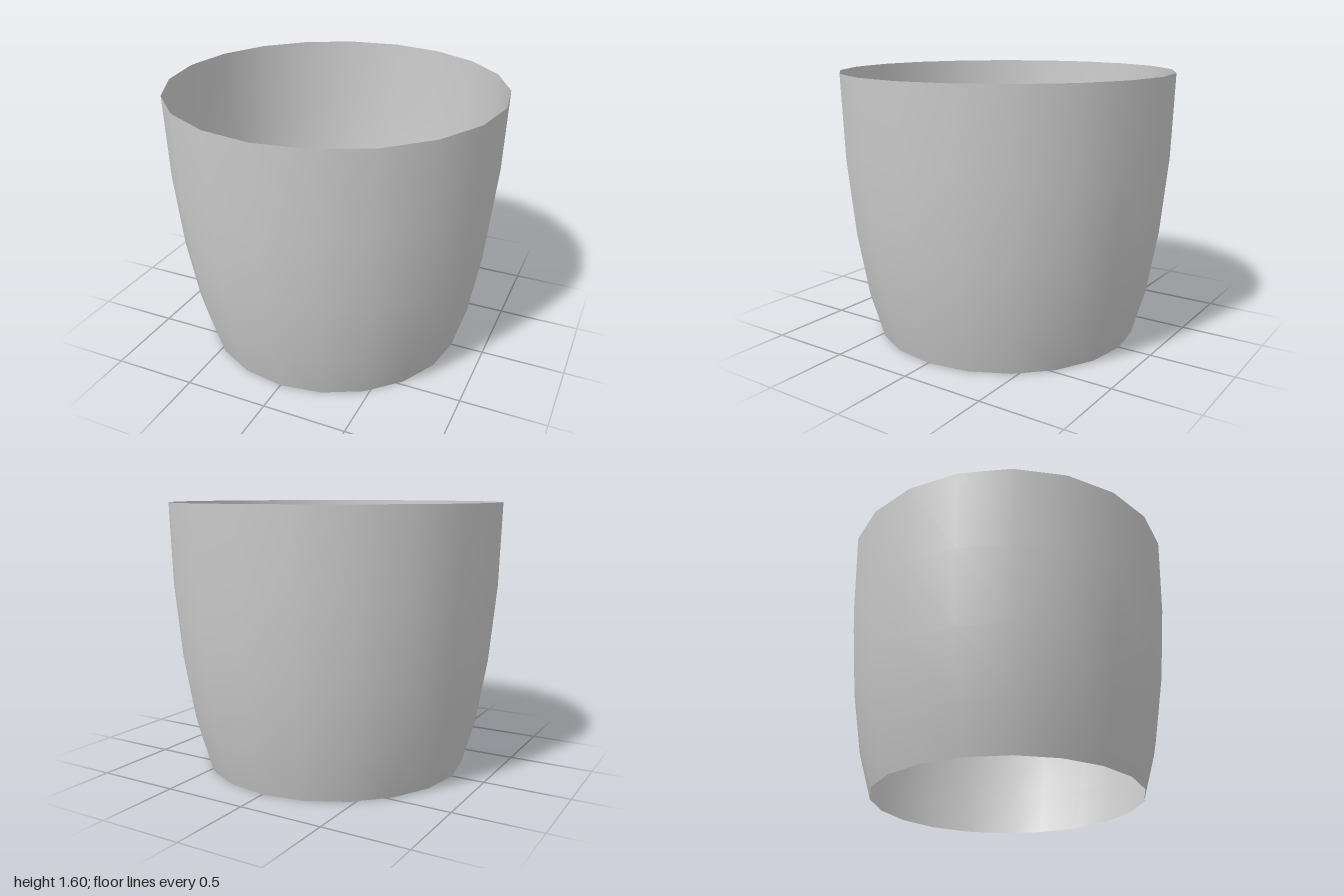
import * as THREE from 'three';

export function createModel() {
  const group = new THREE.Group();
  const material = new THREE.MeshStandardMaterial({ color: 0xcccccc, side: THREE.DoubleSide });

  // Thin tapered wall, open at top and bottom: [radius, height] from base to rim
  const profile = [
    [0.8, 0],
    [0.88, 0.28],
    [0.943, 0.66],
    [0.985, 1.11],
    [1, 1.6],
  ].map(([r, y]) => new THREE.Vector2(r, y));

  const wall = new THREE.Mesh(new THREE.LatheGeometry(profile, 20), material);
  wall.name = 'openTaperedWall';
  group.add(wall);

  return group;
}
